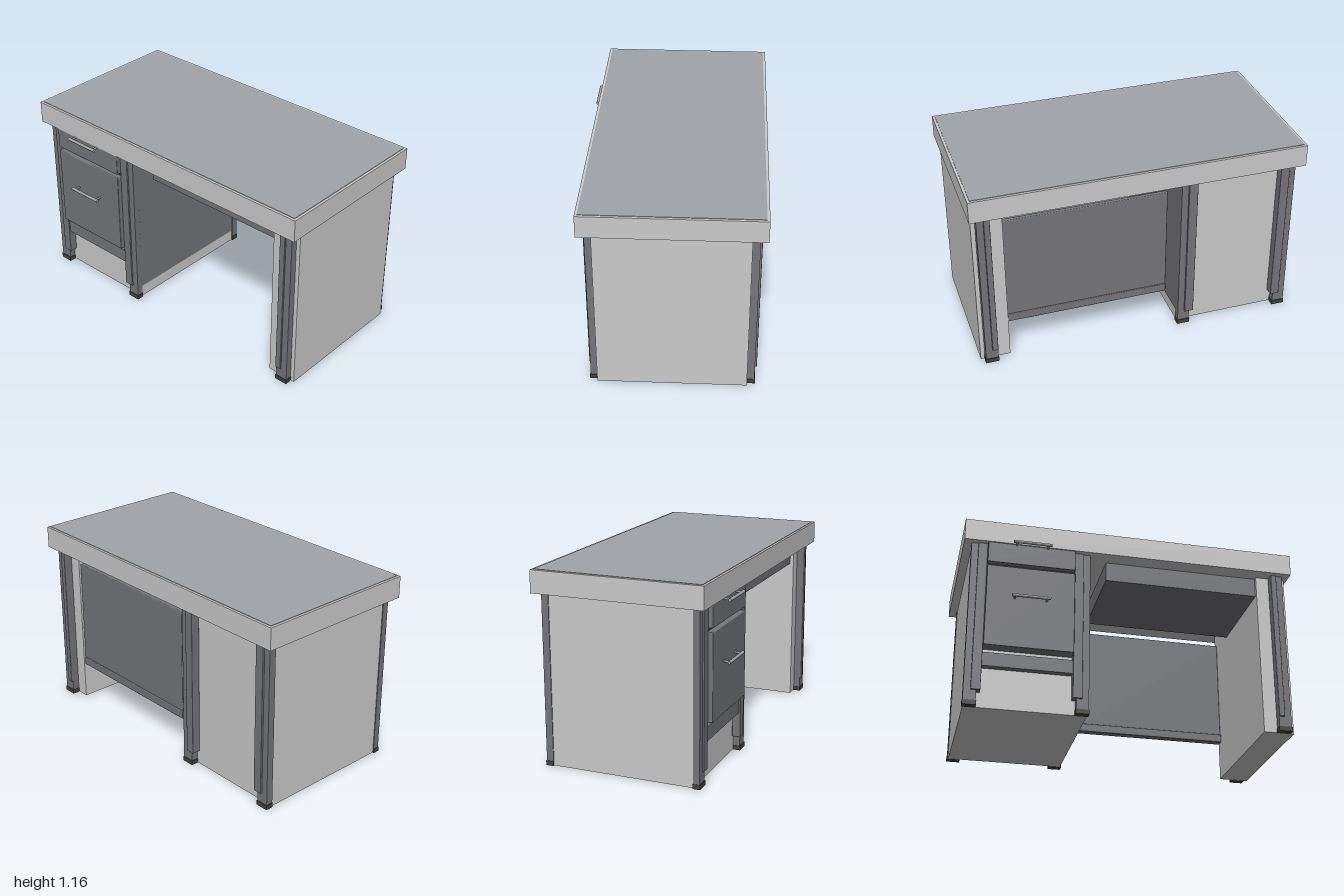
import * as THREE from 'three';
import { RoundedBoxGeometry } from 'three/addons/geometries/RoundedBoxGeometry.js';

const material = (name, color) => {
  const m = new THREE.MeshStandardMaterial({ color });
  m.name = name;
  return m;
};

export function createModel() {
  const desk = new THREE.Group();
  desk.name = 'desk';
  const light = material('light grey panel', 0xcacaca);
  const slate = material('slate grey', 0x74757a);
  const writing = material('writing surface grey', 0xa0a3a8);
  const dark = material('dark rubber', 0x42423f);
  const metal = material('handle metal', 0xa4a4a4);

  // Box given by its lower and upper bounds; a radius softens the edges
  const box = (name, mat, x, y, z, radius = 0) => {
    const size = [x, y, z].map(([a, b]) => b - a);
    const geo = radius ? new RoundedBoxGeometry(...size, 2, radius) : new THREE.BoxGeometry(...size);
    const mesh = new THREE.Mesh(geo, mat);
    mesh.name = name;
    mesh.position.set(...[x, y, z].map(([a, b]) => (a + b) / 2));
    desk.add(mesh);
    return mesh;
  };

  // Table top with a thin inlaid writing surface
  box('tableTop', light, [-1, 1], [1.02, 1.153], [-0.535, 0.49]);
  box('writingSurface', writing, [-0.985, 0.985], [1.15, 1.156], [-0.52, 0.475]);

  // Drawer pedestal and side support
  box('pedestal', light, [-0.95, -0.252], [0.002, 1.02], [-0.45, 0.41]);
  box('kneeholeLiner', slate, [-0.254, -0.248], [0.08, 1.02], [-0.449, 0.409]);
  box('sideSupport', light, [0.8, 0.98], [0.002, 1.02], [-0.45, 0.41]);

  // Legs: a post, a stepped strip on its outer face and a dark foot, front and back
  const leg = (name, post, strip, stripBottom) => {
    for (const [end, inner, outer, proud] of [['Front', 0.41, 0.45, 0.46], ['Back', -0.45, -0.493, -0.505]]) {
      const span = (a, b) => [Math.min(a, b), Math.max(a, b)];
      box(name + end + 'Post', slate, post, [0.02, 1.02], span(inner, outer));
      box(name + end + 'Strip', slate, strip, [stripBottom, 1.02], span(inner, proud), 0.003);
      box(name + end + 'Foot', dark, [post[0] - 0.003, post[1] + 0.003], [0, 0.028], span(inner, outer + Math.sign(outer) * 0.004));
    }
  };
  leg('outerLeg', [-0.955, -0.882], [-0.915, -0.86], 0.09);
  leg('innerLeg', [-0.32, -0.247], [-0.342, -0.287], 0.09);
  leg('supportLeg', [0.88, 0.955], [0.88, 0.915], 0.09);

  // Drawer fronts, the dark rail between them and the rail below
  const drawerX = [-0.86, -0.343];
  box('upperDrawer', slate, drawerX, [0.89, 1.02], [0.41, 0.486], 0.005);
  box('lowerDrawer', slate, drawerX, [0.357, 0.868], [0.41, 0.486], 0.005);
  box('drawerRail', dark, drawerX, [0.866, 0.892], [0.41, 0.45]);
  box('bottomRail', slate, drawerX, [0.242, 0.325], [0.41, 0.45]);

  // Bar handles on two posts
  const rod = (name, radius, length, x, y, z, axis) => {
    const mesh = new THREE.Mesh(new THREE.CylinderGeometry(radius, radius, length, 16), metal);
    mesh.name = name;
    mesh.position.set(x, y, z);
    if (axis === 'x') mesh.rotation.z = Math.PI / 2;
    else mesh.rotation.x = Math.PI / 2;
    desk.add(mesh);
  };
  for (const y of [0.664, 1.016]) {
    rod('handleBar', 0.009, 0.225, -0.603, y, 0.526, 'x');
    for (const x of [-0.695, -0.51]) rod('handlePost', 0.006, 0.042, x, y, 0.505, 'z');
  }

  // Shallow drawer over the kneehole, and the modesty panel with its lower lip
  box('kneeholeDrawer', slate, [-0.14, 0.8], [0.9, 1.02], [-0.2, 0.388]);
  box('modestyPanel', slate, [-0.18, 0.8], [0.24, 0.935], [-0.44, -0.41], 0.005);
  box('modestyLip', slate, [-0.18, 0.8], [0.235, 0.288], [-0.445, -0.395], 0.005);

  return desk;
}
